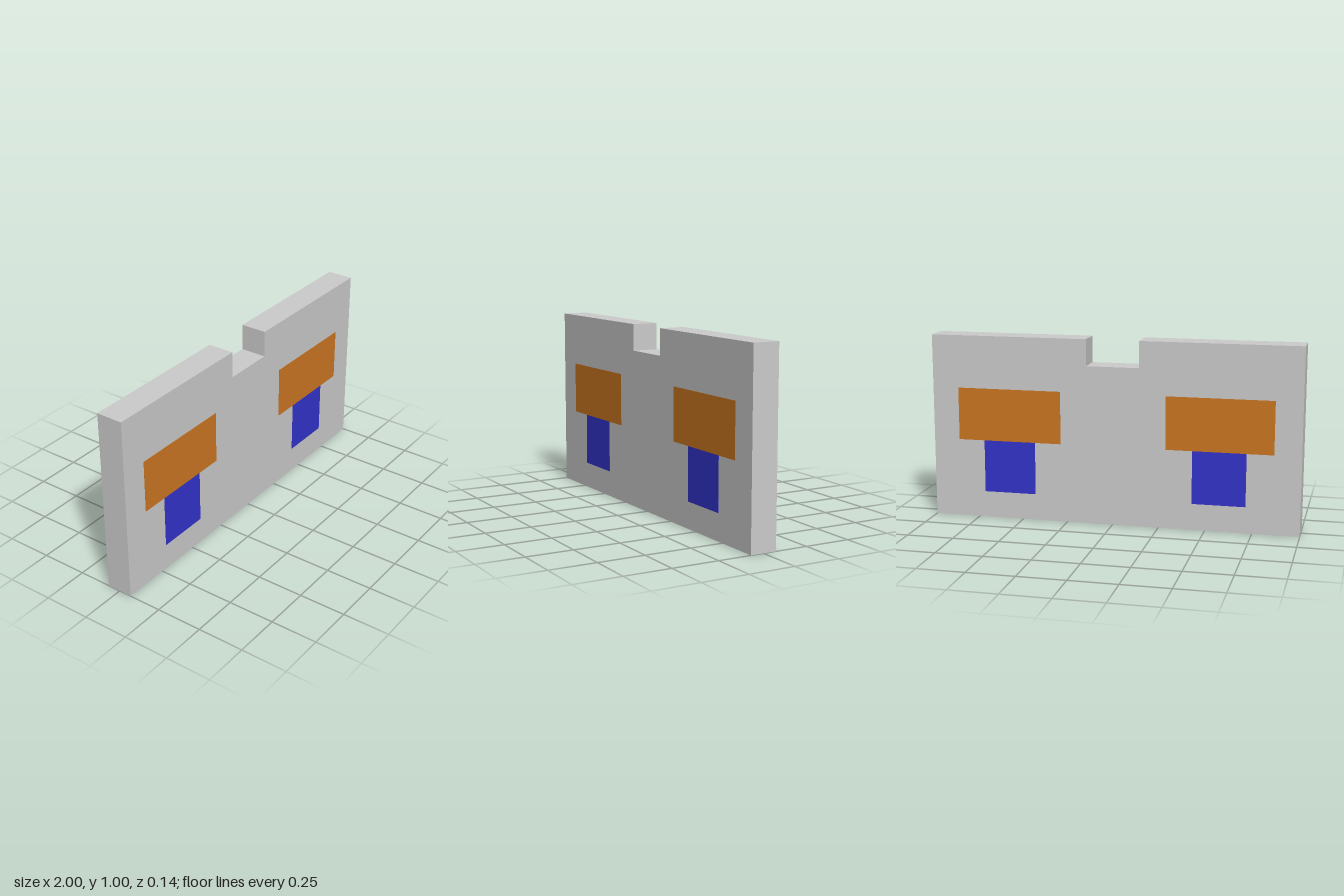
import * as THREE from 'three';

const U = 1 / 7; // grid module: the slab is 14 x 7 x 1 modules

export function createModel() {
  const group = new THREE.Group();
  const grey = new THREE.MeshStandardMaterial({ color: 0xcccccc });
  grey.name = 'light grey';
  const orange = new THREE.MeshStandardMaterial({ color: 0xcc7722 });
  orange.name = 'ochre orange';
  const blue = new THREE.MeshStandardMaterial({ color: 0x3333cc });
  blue.name = 'blue';

  // Slab with a square notch in the middle of its top edge
  const outline = [[-7, 0], [7, 0], [7, 7], [1, 7], [1, 6], [-1, 6], [-1, 7], [-7, 7]];
  const shape = new THREE.Shape(outline.map(([x, y]) => new THREE.Vector2(x * U, y * U)));
  const slabGeometry = new THREE.ExtrudeGeometry(shape, { depth: U, bevelEnabled: false });
  slabGeometry.translate(0, 0, -U / 2);
  const slab = new THREE.Mesh(slabGeometry, grey);
  slab.name = 'slab';
  group.add(slab);

  // Thin painted panel, given in modules, on the front (face 1) or back (face -1)
  const thickness = 0.002;
  function addPanel(name, material, x, y, width, height, face) {
    const panel = new THREE.Mesh(new THREE.BoxGeometry(width * U, height * U, thickness), material);
    panel.name = name;
    panel.position.set(x * U, y * U, face * U / 2);
    group.add(panel);
  }

  // T-shaped pair of panels on each half of both faces
  for (const face of [1, -1]) {
    for (const side of [1, -1]) {
      const label = (face > 0 ? 'front' : 'back') + (side > 0 ? 'Left' : 'Right');
      addPanel(label + 'UpperPanel', orange, side * 4, 4, 4, 2, face);
      addPanel(label + 'LowerPanel', blue, side * 4, 2, 2, 2, face);
    }
  }
  return group;
}
